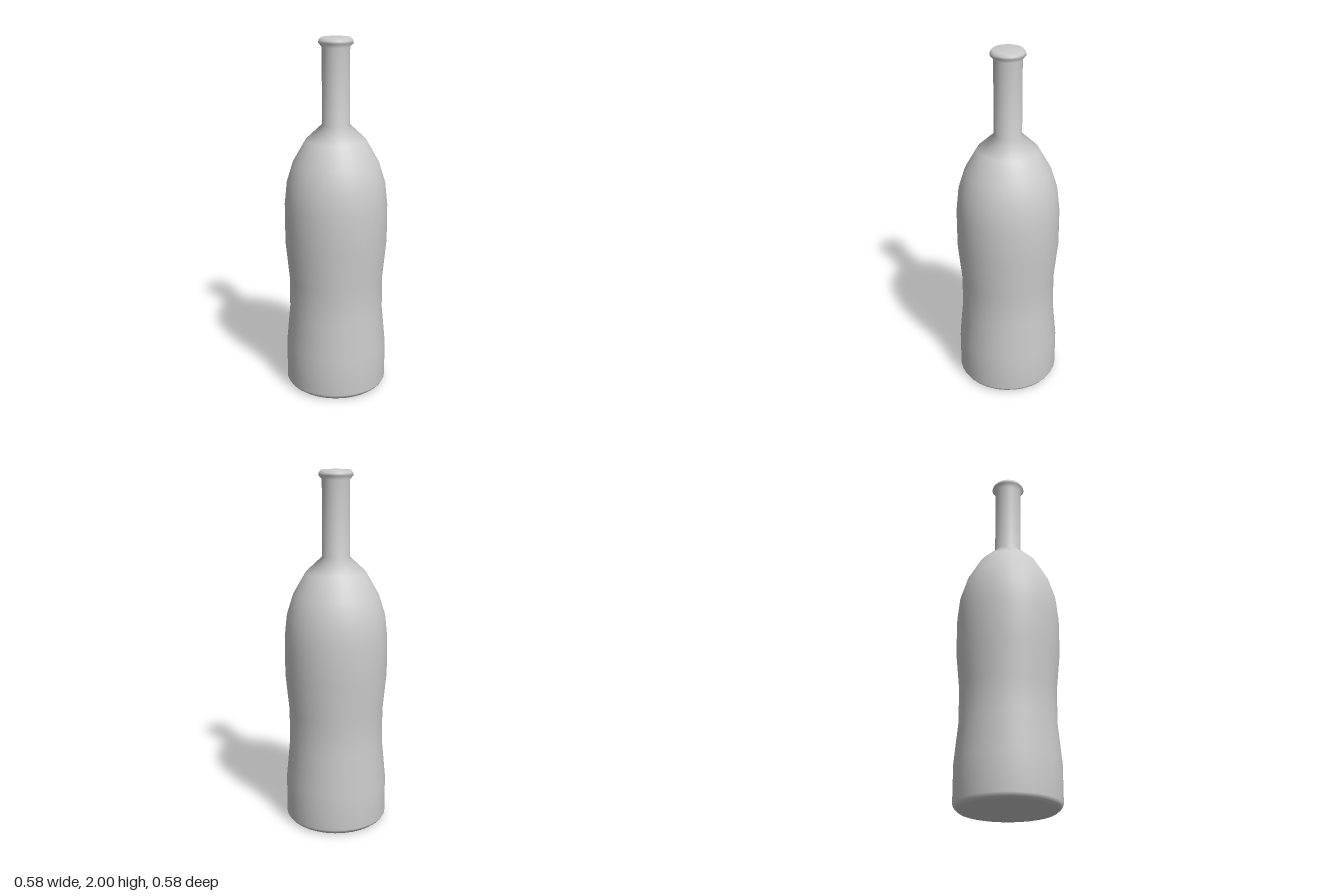
import * as THREE from 'three';

export function createModel() {
  const group = new THREE.Group();
  group.name = 'bottle';

  // Profile as [radius, height], from the base centre up to the closed mouth
  const profile = [
    [0, 0], [0.262, 0], [0.277, 0.012], [0.288, 0.03],   // base with bevelled edge
    [0.288, 0.24], [0.267, 0.46], [0.267, 0.655],        // grip waist
    [0.288, 0.87], [0.288, 1.08],                        // upper body
    [0.274, 1.21], [0.238, 1.325], [0.167, 1.45],        // shoulder
    [0.076, 1.535], [0.076, 1.95],                       // neck
    [0.095, 1.972], [0.092, 1.985], [0.081, 2], [0, 2],  // lip and mouth
  ].map(([r, y]) => new THREE.Vector2(r, y));

  const body = new THREE.Mesh(
    new THREE.LatheGeometry(profile, 32),
    new THREE.MeshStandardMaterial({ color: 0xcccccc })
  );
  body.name = 'bottleBody';
  group.add(body);

  return group;
}
